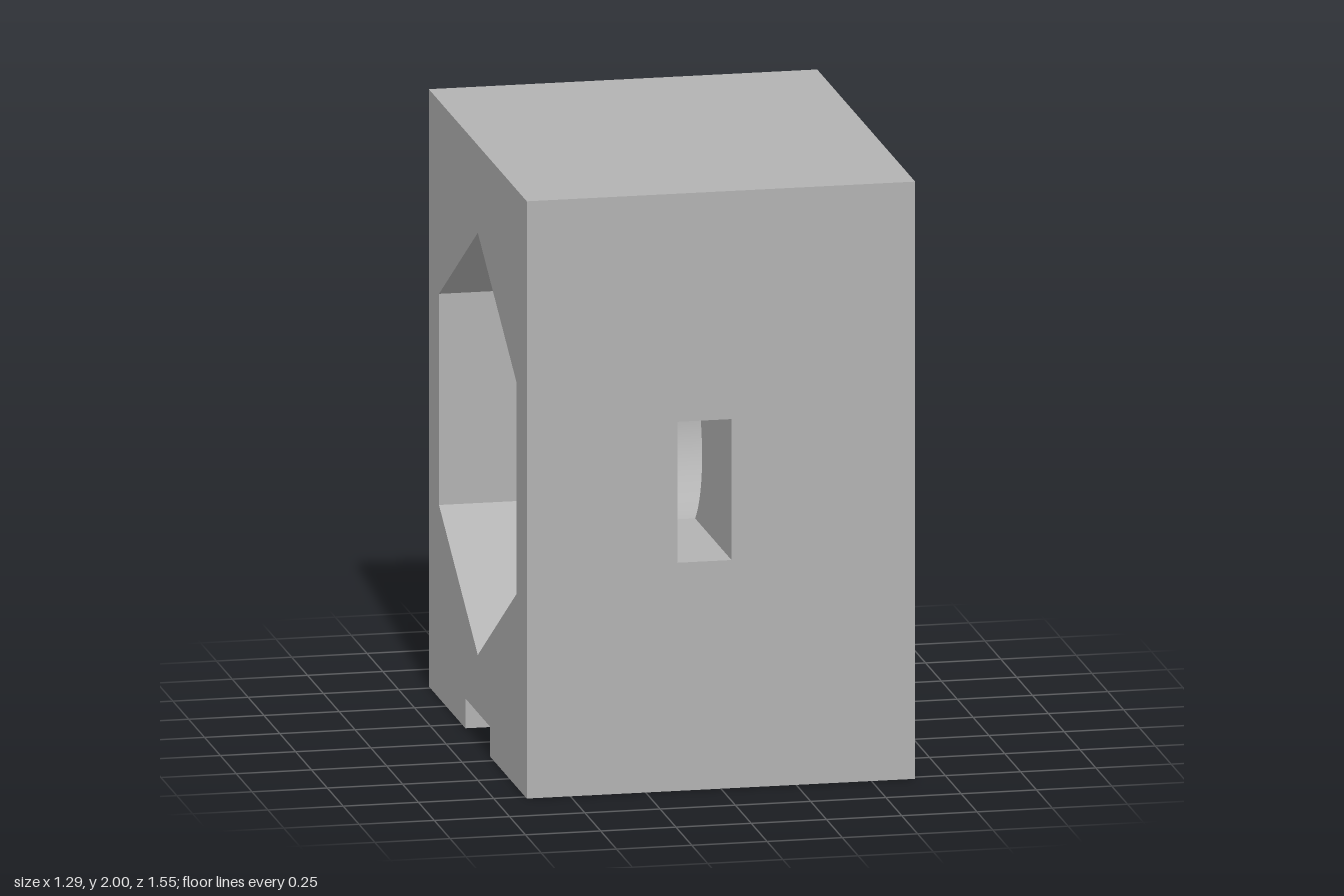
import * as THREE from 'three';

// Block size, bore, hexagonal pocket, front slot and bottom groove
const W = 0.645, D = 0.773, H = 2, CY = 1;
const R = 0.309, HEX_R = 0.707, HEX_X = -0.19;
const SLOT_X0 = -0.145, SLOT_X1 = 0.035, SLOT_H = 0.236;
const GROOVE_W = 0.195, GROOVE_H = 0.1;

// Profiles are lists of [z, y] points
const arc = (a0, a1, n, r = R) => Array.from({ length: n + 1 }, (_, i) => {
  const a = a0 + (a1 - a0) * i / n;
  return [r * Math.cos(a), CY + r * Math.sin(a)];
});

// Sweep a profile along x; clockwise profiles face inward
function wall(pts, x0, x1, smooth = false) {
  const pos = [], idx = [];
  pts.forEach(([z, y], i) => {
    pos.push(x0, y, z, x1, y, z);
    const k = i * 2;
    if (i < pts.length - 1) idx.push(k, k + 1, k + 3, k, k + 3, k + 2);
  });
  let g = new THREE.BufferGeometry();
  g.setAttribute('position', new THREE.Float32BufferAttribute(pos, 3));
  g.setIndex(idx);
  if (!smooth) g = g.toNonIndexed();
  g.computeVertexNormals();
  return g;
}

// Flat face across x, facing +x (side 1) or -x (side -1)
function cap(pts, x, side, hole) {
  const map = (list) => list.map(([z, y]) => new THREE.Vector2(-side * z, y));
  const shape = new THREE.Shape(map(pts));
  if (hole) shape.holes.push(new THREE.Path(map(hole)));
  return new THREE.ShapeGeometry(shape).rotateY(side * Math.PI / 2).translate(x, 0, 0);
}

export function createModel() {
  const model = new THREE.Group();
  model.name = 'block';
  const grey = new THREE.MeshStandardMaterial({ color: 0xb2b2b2, side: THREE.DoubleSide });
  grey.name = 'grey';
  const add = (name, ...geometries) => {
    const part = new THREE.Group();
    part.name = name;
    geometries.forEach((g) => {
      const mesh = new THREE.Mesh(g, grey);
      mesh.name = name;
      part.add(mesh);
    });
    model.add(part);
  };

  const outline = [[D, H], [-D, H], [-D, 0], [-GROOVE_W, 0], [-GROOVE_W, GROOVE_H],
    [GROOVE_W, GROOVE_H], [GROOVE_W, 0], [D, 0]];
  const circle = arc(Math.PI * 2, 0, 96);
  const hex = arc(Math.PI * 2.5, Math.PI / 2, 6, HEX_R);
  const rim = circle.slice(0, -1), hexRim = hex.slice(0, -1);

  // Outer skin: top, back, bottom with groove, and the two sides
  add('outerWalls', wall(outline, -W, W));
  add('boreSide', cap(outline, W, 1, rim));
  add('pocketSide', cap(outline, -W, -1, hexRim));

  // Front face with the slot opening
  const lo = CY - SLOT_H, hi = CY + SLOT_H;
  const rect = (x0, x1, y0, y1) => [[x0, y0], [x1, y0], [x1, y1], [x0, y1]]
    .map(([x, y]) => new THREE.Vector2(x, y));
  const front = new THREE.Shape(rect(-W, W, 0, H));
  front.holes.push(new THREE.Path(rect(SLOT_X0, SLOT_X1, lo, hi)));
  add('frontFace', new THREE.ShapeGeometry(front).translate(0, 0, D));

  // Hexagonal pocket
  add('hexPocket', wall(hex, -W, HEX_X), cap(hexRim, HEX_X, -1, rim));

  // Round bore, broken where the slot crosses it
  const a = Math.asin(SLOT_H / R), b = Math.asin(0.1 / R), PI = Math.PI;
  add('bore',
    wall(circle, HEX_X, SLOT_X0, true),
    wall(circle, SLOT_X1, W, true),
    wall(arc(PI - a, a, 24), SLOT_X0, SLOT_X1, true),
    wall(arc(-a, a - PI, 24), SLOT_X0, SLOT_X1, true),
    wall(arc(PI + b, PI - b, 12), SLOT_X0, SLOT_X1, true));

  // Slot: runs from the front through the bore to a flat back wall
  const zc = R * Math.cos(a), zb = -R * Math.cos(b);
  const slot = [
    wall([[zb, CY + 0.1], [zb, hi], [-zc, hi]], SLOT_X0, SLOT_X1),
    wall([[-zc, lo], [zb, lo], [zb, CY - 0.1]], SLOT_X0, SLOT_X1),
    wall([[zc, hi], [D, hi]], SLOT_X0, SLOT_X1),
    wall([[D, lo], [zc, lo]], SLOT_X0, SLOT_X1)];
  const cheeks = [
    [[D, lo], [D, hi], ...arc(a, -a, 24)],
    [[zb, hi], ...arc(PI - b, PI - a, 8)],
    [[zb, lo], ...arc(PI + b, PI + a, 8)]];
  cheeks.forEach((c) => slot.push(cap(c, SLOT_X0, 1), cap(c, SLOT_X1, -1)));
  add('frontSlot', ...slot);

  return model;
}
